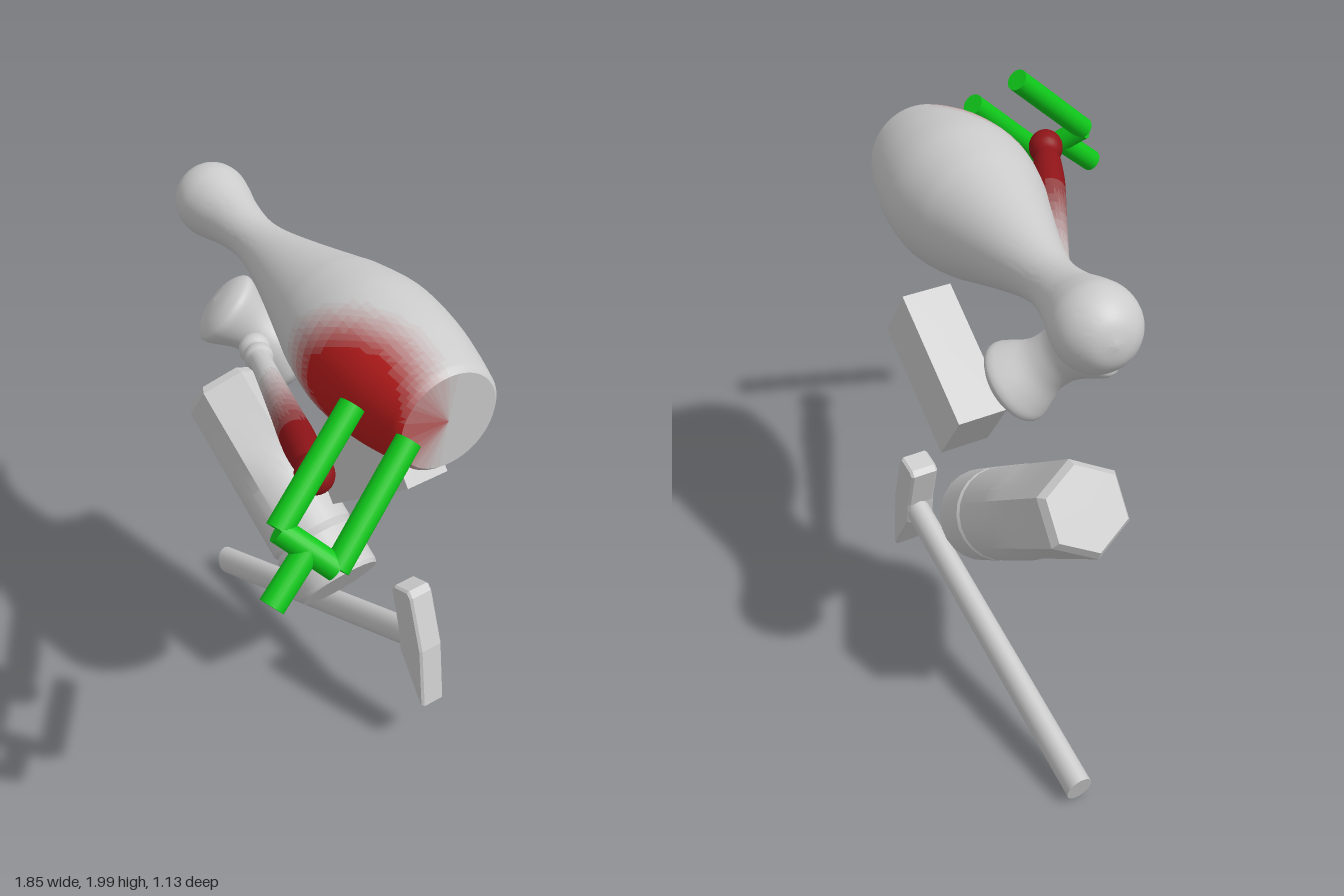
import * as THREE from 'three';
import { toCreasedNormals } from 'three/addons/utils/BufferGeometryUtils.js';

const GREY = new THREE.Color(0xcccccc);
const V = (a) => new THREE.Vector3(...a);
const mat = (color = GREY) => new THREE.MeshStandardMaterial({ color });

function mesh(name, geometry, color) {
  const m = new THREE.Mesh(geometry, mat(color));
  m.name = name;
  return m;
}

// Places a geometry built along +y so it starts at a and points towards b
function along(geo, a, b) {
  const dir = V(b).sub(V(a)).normalize();
  const q = new THREE.Quaternion().setFromUnitVectors(new THREE.Vector3(0, 1, 0), dir);
  return geo.applyQuaternion(q).translate(...a);
}

// Smooth lathe profile through [radius, height] points, plus sharp end points
function spun(points, sharp = [], steps = 48, sides = 48) {
  const curve = new THREE.SplineCurve(points.map((p) => new THREE.Vector2(...p)));
  const profile = curve.getPoints(steps).concat(sharp.map((p) => new THREE.Vector2(...p)));
  profile.forEach((p) => { p.x = Math.max(0, p.x); });
  return new THREE.LatheGeometry(profile, sides);
}

// Splits a surface into bands blending from grey to a tint; level(centroid) is 0..1
function tinted(name, geo, tint, level, bands = 12) {
  const group = new THREE.Group();
  group.name = name;
  const src = toCreasedNormals(geo, 0.6);
  const pos = src.attributes.position, nor = src.attributes.normal;
  const sets = Array.from({ length: bands + 1 }, () => ({ p: [], n: [] }));
  const c = new THREE.Vector3(), v = new THREE.Vector3();
  for (let i = 0; i < pos.count; i += 3) {
    c.set(0, 0, 0);
    for (let k = 0; k < 3; k++) c.addScaledVector(v.fromBufferAttribute(pos, i + k), 1 / 3);
    const s = sets[Math.round(THREE.MathUtils.clamp(level(c), 0, 1) * bands)];
    for (let k = i; k < i + 3; k++) {
      s.p.push(pos.getX(k), pos.getY(k), pos.getZ(k));
      s.n.push(nor.getX(k), nor.getY(k), nor.getZ(k));
    }
  }
  sets.forEach((s, i) => {
    if (!s.p.length) return;
    const g = new THREE.BufferGeometry();
    g.setAttribute('position', new THREE.Float32BufferAttribute(s.p, 3));
    g.setAttribute('normal', new THREE.Float32BufferAttribute(s.n, 3));
    group.add(mesh(`${name}Band${i}`, g, GREY.clone().lerp(new THREE.Color(tint), i / bands)));
  });
  return group;
}

function bowlingPin() {
  const geo = spun([
    [0, -0.137], [0.07, -0.118], [0.12, -0.065], [0.136, 0], [0.125, 0.07], [0.1, 0.17],
    [0.085, 0.3], [0.098, 0.42], [0.14, 0.59], [0.2, 0.8], [0.228, 0.9], [0.256, 1.07],
    [0.246, 1.25], [0.217, 1.4], [0.19, 1.5],
  ], [[0.175, 1.515], [0, 1.515]], 64, 64);
  along(geo, [-0.785, 1.82, -0.43], [0.71, 1.715, -0.25]);
  // Red patch on the front of the belly
  const spot = V([0.5, 1.74, -0.03]);
  return tinted('bowlingPin', geo, 0xb81c1c, (c) => {
    const dx = (c.x - spot.x) * (c.x < spot.x ? 0.8 : 0.9);
    const d = Math.hypot(dx, c.y - spot.y, c.z - spot.z);
    return 1 - THREE.MathUtils.smoothstep(d, 0.16, 0.34);
  });
}

function mallet() {
  const group = new THREE.Group();
  group.name = 'mallet';
  // Spool-shaped head with domed ends
  const half = [[0.09, 0], [0.097, 0.05], [0.125, 0.11], [0.139, 0.145], [0.132, 0.17], [0.085, 0.197], [0, 0.21]];
  const full = half.slice(1).reverse().map(([r, y]) => [r, -y]).concat(half);
  const head = along(spun(full, [], 40, 32), [-0.385, 1.475, -0.345], [-0.24, 1.3, -0.51]);
  group.add(mesh('malletHead', head));
  // Handle with a collar by the head and a knob at the end
  const handle = spun([
    [0.035, 0], [0.036, 0.09], [0.055, 0.11], [0.055, 0.14], [0.038, 0.165], [0.05, 0.19],
    [0.05, 0.22], [0.04, 0.26], [0.043, 0.45], [0.05, 0.7], [0.057, 0.92], [0.052, 1.05],
    [0.045, 1.1], [0.06, 1.14], [0.06, 1.18], [0.04, 1.215], [0, 1.23],
  ], [], 80, 24);
  along(handle, [-0.385, 1.478, -0.3], [0.65, 1.67, 0.22]);
  group.add(tinted('malletHandle', handle, 0x8e1418,
    (c) => THREE.MathUtils.smoothstep(c.x, -0.15, 0.45)));
  return group;
}

function canister() {
  const R = 0.165;
  const rows = [[0, 0], [0.145, 0], [R, 0.03], [R, 0.15], [R, 0.3], [R, 0.38], [R, 0.46], [R, 0.69],
    [0.157, 0.705], [R, 0.72], [R, 0.885], [0.158, 0.9], [0, 0.9]];
  const geo = new THREE.LatheGeometry(rows.map((p) => new THREE.Vector2(...p)), 24);
  // Six flats at one end fade into a round barrel
  const pos = geo.attributes.position;
  for (let i = 0; i < pos.count; i++) {
    const x = pos.getX(i), y = pos.getY(i), z = pos.getZ(i);
    const step = Math.PI / 3;
    const a = Math.atan2(x, z);
    const off = a - Math.round(a / step) * step;
    const hex = Math.cos(step / 2) / Math.cos(off);
    const k = THREE.MathUtils.lerp(hex, 1, THREE.MathUtils.smoothstep(y, 0.28, 0.5));
    pos.setXYZ(i, x * k, y, z * k);
  }
  along(geo, [-0.67, 1.09, -0.388], [0.077, 0.585, -0.388]);
  return mesh('canister', toCreasedNormals(geo, 0.3));
}

function brick() {
  const m = mesh('brick', new THREE.BoxGeometry(0.49, 0.255, 0.18));
  m.position.set(0.153, 1.19, -0.463);
  m.rotation.z = THREE.MathUtils.degToRad(37);
  return m;
}

function hammer() {
  const group = new THREE.Group();
  group.name = 'hammer';
  // Oval handle
  const a = [-0.826, 0.068, -0.512], b = [0.375, 0.475, -0.512];
  const len = V(a).distanceTo(V(b));
  const shaft = new THREE.CylinderGeometry(0.057, 0.06, len, 20).scale(1, 1, 0.75).translate(0, len / 2, 0);
  group.add(mesh('hammerHandle', along(shaft, a, b)));
  // Head with a blunt face above and a wedge below
  const outline = [[0.288, 0.675], [0.305, 0.694], [0.378, 0.712], [0.4, 0.69], [0.474, 0.484],
    [0.51, 0.24], [0.495, 0.235], [0.357, 0.426], [0.341, 0.516]];
  const shape = new THREE.Shape(outline.map((p) => new THREE.Vector2(...p)));
  const head = new THREE.ExtrudeGeometry(shape, {
    depth: 0.086, bevelThickness: 0.009, bevelSize: 0.008, bevelOffset: -0.008, bevelSegments: 1,
  });
  group.add(mesh('hammerHead', head.translate(0, 0, -0.547)));
  return group;
}

function fork() {
  const group = new THREE.Group();
  group.name = 'fork';
  const leftTip = [0.823, 1.81, 0.015], leftRoot = [0.889, 1.522, 0.327];
  const rightTip = [0.707, 1.92, 0.138], rightRoot = [0.766, 1.642, 0.447];
  const middle = [0.828, 1.582, 0.387], stemEnd = [0.852, 1.455, 0.535];
  const rod = (name, a, b) => {
    const len = V(a).distanceTo(V(b));
    const geo = new THREE.CylinderGeometry(0.041, 0.041, len, 20).translate(0, len / 2, 0);
    group.add(mesh(name, along(geo, a, b), 0x0fc81a));
  };
  rod('leftProng', leftRoot, leftTip);
  rod('rightProng', rightRoot, rightTip);
  rod('crossbar', leftRoot, rightRoot);
  rod('stem', middle, stemEnd);
  return group;
}

export function createModel() {
  const model = new THREE.Group();
  model.name = 'floatingTools';
  model.add(bowlingPin(), mallet(), canister(), brick(), hammer(), fork());
  return model;
}
